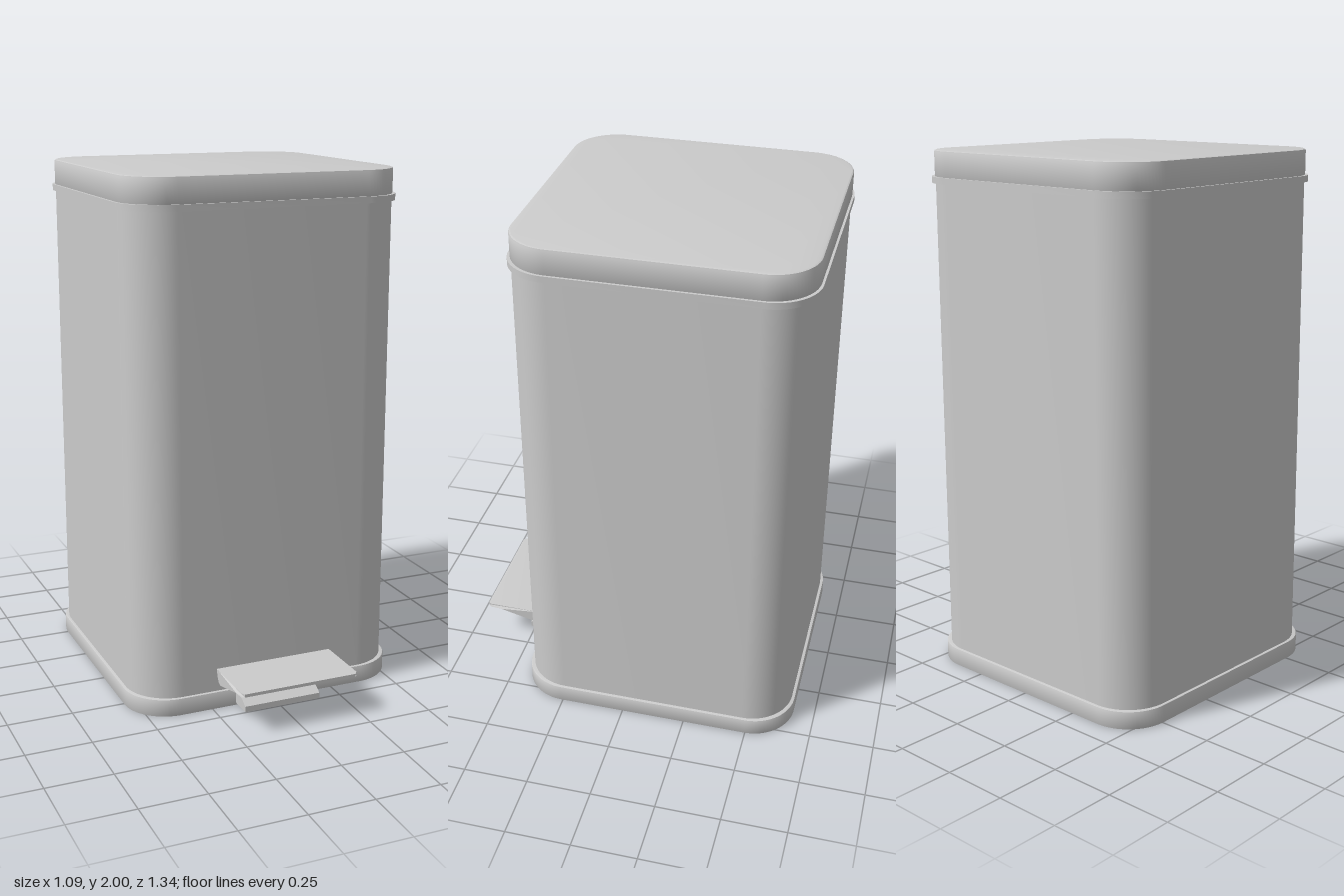
import * as THREE from 'three';
import { toCreasedNormals } from 'three/addons/utils/BufferGeometryUtils.js';

const CENTRE_Z = -0.12;
const material = new THREE.MeshStandardMaterial({ color: 0xcccccc });

// Square outline with rounded corners
function roundedSquare(half, r) {
  const s = new THREE.Shape();
  const c = half - r;
  s.moveTo(half, -c);
  s.absarc(c, c, r, 0, Math.PI / 2);
  s.absarc(-c, c, r, Math.PI / 2, Math.PI);
  s.absarc(-c, -c, r, Math.PI, Math.PI * 1.5);
  s.absarc(c, -c, r, Math.PI * 1.5, Math.PI * 2);
  return s;
}

// Upright prism between two heights, with an optional softened top and bottom edge
function slab(name, half, y0, y1, bevel = 0) {
  const geo = new THREE.ExtrudeGeometry(roundedSquare(half - bevel, 0.17 - bevel), {
    depth: y1 - y0 - 2 * bevel, curveSegments: 10, bevelEnabled: bevel > 0,
    bevelSize: bevel, bevelThickness: bevel, bevelSegments: 2,
  });
  geo.rotateX(-Math.PI / 2);
  geo.translate(0, y0 + bevel, CENTRE_Z);
  const mesh = new THREE.Mesh(toCreasedNormals(geo, 0.5), material);
  mesh.name = name;
  return mesh;
}

// Side profile of [z, y] points swept across x; the front tip narrows by `taper`
function sweptProfile(name, points, halfWidth, tipZ = Infinity, taper = 0) {
  const shape = new THREE.Shape(points.map(([z, y]) => new THREE.Vector2(z, y)));
  const geo = new THREE.ExtrudeGeometry(shape, { depth: 2 * halfWidth, bevelEnabled: false });
  geo.translate(0, 0, -halfWidth);
  geo.rotateY(-Math.PI / 2);
  const p = geo.attributes.position;
  for (let i = 0; i < p.count; i++) {
    if (p.getZ(i) > tipZ) p.setX(i, p.getX(i) - Math.sign(p.getX(i)) * taper);
  }
  const mesh = new THREE.Mesh(toCreasedNormals(geo, 0.4), material);
  mesh.name = name;
  return mesh;
}

export function createModel() {
  const model = new THREE.Group();
  model.name = 'pedalBin';

  // Bin from the floor up
  model.add(
    slab('base', 0.547, 0, 0.068, 0.003),
    slab('body', 0.535, 0.06, 1.885),
    slab('rim', 0.545, 1.88, 1.904),
    slab('lid', 0.537, 1.9, 2, 0.007),
  );

  // Foot pedal: flat plate with a wedge underneath
  model.add(sweptProfile('pedal', [
    [0.43, 0.165], [0.435, 0.14], [0.447, 0.118], [0.46, 0.111], [0.475, 0.113],
    [0.615, 0.148], [0.66, 0.151], [0.672, 0.153], [0.672, 0.165], [0.66, 0.167],
  ], 0.235, 0.665, 0.01));

  // Sloping support below the pedal
  model.add(sweptProfile('pedalSupport', [
    [0.41, 0.01], [0.515, 0.01], [0.515, 0.032], [0.44, 0.076], [0.41, 0.076],
  ], 0.155));

  return model;
}
